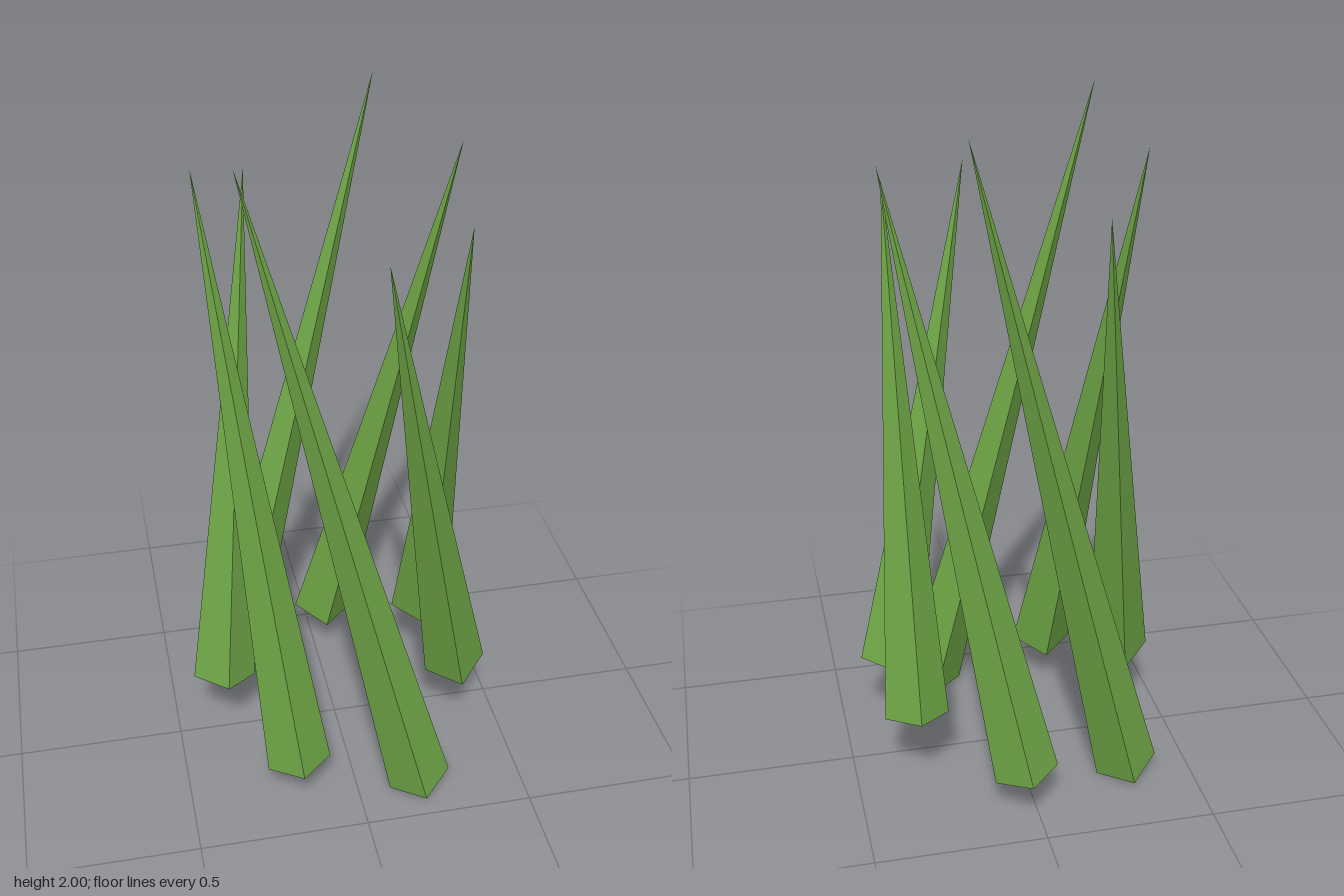
import * as THREE from 'three';

const RADIUS = 0.094;

// Each blade: base centre, then tip
const BLADES = [
  [[-0.308, 0.025, -0.238], [0.18, 2.0, -0.352]],
  [[0.033, 0.14, -0.372], [0.372, 1.88, -0.098]],
  [[0.322, 0.257, -0.182], [0.322, 1.765, 0.2]],
  [[0.354, 0.257, 0.132], [0.06, 1.765, 0.376]],
  [[0.188, 0.025, 0.372], [-0.3, 2.0, 0.266]],
  [[-0.178, 0.14, 0.349], [-0.37, 1.88, -0.046]],
  [[-0.356, 0.257, 0.05], [-0.197, 1.765, -0.297]],
];

export function createModel() {
  const model = new THREE.Group();
  model.name = 'grassTuft';

  const green = new THREE.MeshStandardMaterial({ color: 0x6fa646 });
  green.name = 'grassGreen';
  green.flatShading = true;

  const up = new THREE.Vector3(0, 1, 0);

  // Ring of leaning four-sided spikes
  BLADES.forEach(([b, t], i) => {
    const base = new THREE.Vector3(...b);
    const tip = new THREE.Vector3(...t);
    const axis = tip.clone().sub(base);
    const blade = new THREE.Mesh(new THREE.ConeGeometry(RADIUS, axis.length(), 4), green);
    blade.name = `grassBlade${i + 1}`;
    blade.position.copy(base).add(tip).multiplyScalar(0.5);
    blade.quaternion.setFromUnitVectors(up, axis.normalize());
    model.add(blade);
  });

  return model;
}
